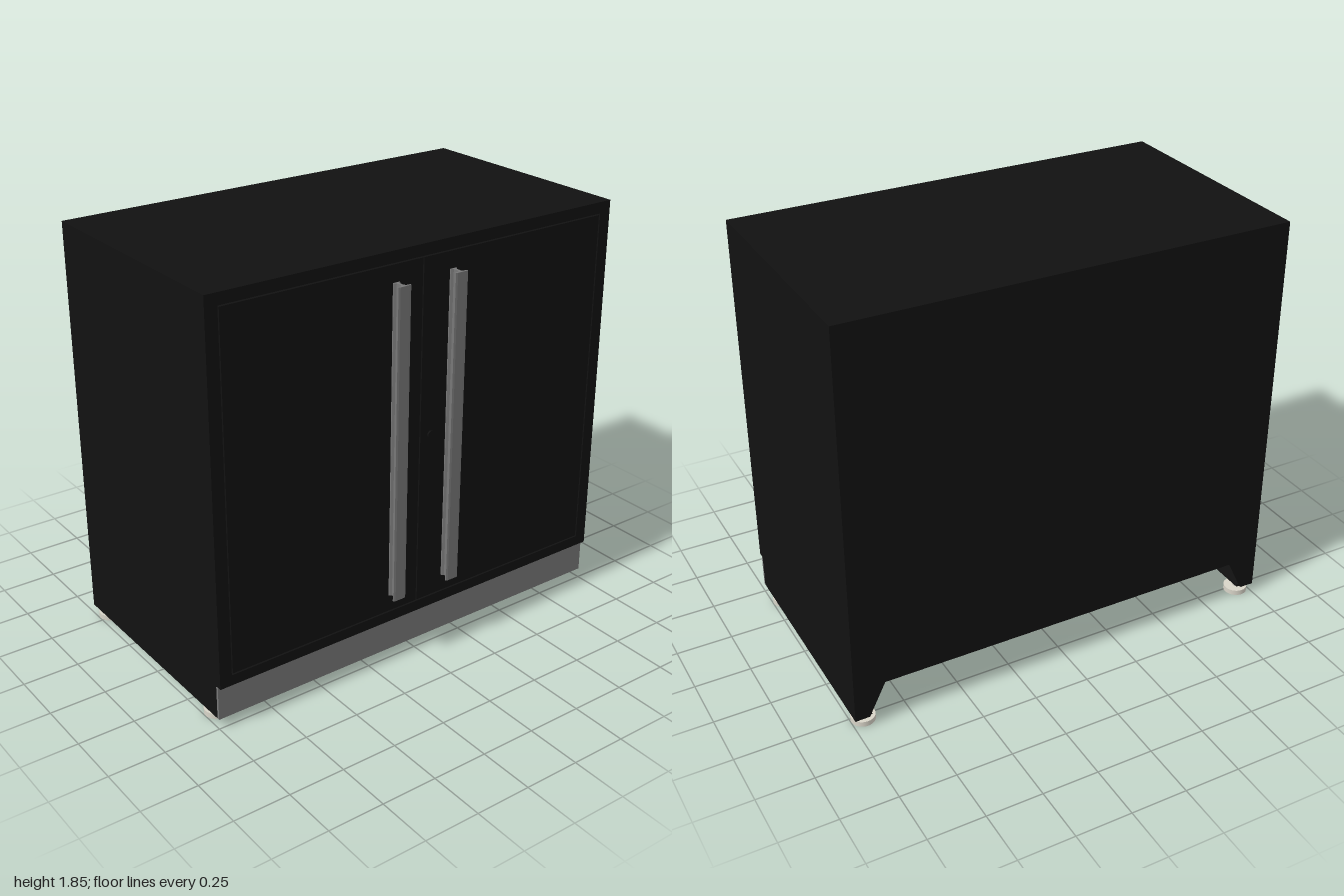
import * as THREE from 'three';

const black = new THREE.MeshStandardMaterial({ color: 0x111111 });
const grey = new THREE.MeshStandardMaterial({ color: 0x777777 });
const pale = new THREE.MeshStandardMaterial({ color: 0xd8d4c8 });

// Box given by its lower and upper limits on each axis
function box(name, [x0, x1], [y0, y1], [z0, z1], material = black) {
  const mesh = new THREE.Mesh(new THREE.BoxGeometry(x1 - x0, y1 - y0, z1 - z0), material);
  mesh.name = name;
  mesh.position.set((x0 + x1) / 2, (y0 + y1) / 2, (z0 + z1) / 2);
  return mesh;
}

function cylinder(name, r, h, x, y, z, material) {
  const mesh = new THREE.Mesh(new THREE.CylinderGeometry(r, r, h, 32), material);
  mesh.name = name;
  mesh.position.set(x, y, z);
  return mesh;
}

// Full-height pull with a T-shaped section: wide grip, thin web, small foot
function handle(name, x) {
  const half = [[0.016, 0.518], [0.016, 0.524], [0.006, 0.53], [0.006, 0.558],
    [0.014, 0.565], [0.031, 0.567], [0.031, 0.573], [0.022, 0.575]];
  const outline = [...half, ...half.map(([px, pz]) => [-px, pz]).reverse()];
  const shape = new THREE.Shape(outline.map(([px, pz]) => new THREE.Vector2(px, pz)));
  const geometry = new THREE.ExtrudeGeometry(shape, { depth: 1.39, bevelEnabled: false });
  geometry.rotateX(Math.PI / 2);
  const mesh = new THREE.Mesh(geometry, grey);
  mesh.name = name;
  mesh.position.set(x, 1.72, 0);
  return mesh;
}

// Tapered corner plate between a base side and the cabinet floor
function gusset(side, z) {
  const shape = new THREE.Shape([[0.985, 0.046], [0.985, 0.2], [0.86, 0.2], [0.935, 0.046]]
    .map(([x, y]) => new THREE.Vector2(side * x, y)));
  const mesh = new THREE.Mesh(
    new THREE.ExtrudeGeometry(shape, { depth: 0.012, bevelEnabled: false }), black);
  mesh.name = 'cornerPlate';
  mesh.position.z = z;
  return mesh;
}

export function createModel() {
  const model = new THREE.Group();
  model.name = 'cabinet';

  // Carcass: open box whose front frame surrounds the doors
  const carcass = new THREE.Group();
  carcass.name = 'carcass';
  const depth = [-0.575, 0.52];
  carcass.add(
    box('top', [-1, 1], [1.8, 1.85], depth),
    box('floor', [-1, 1], [0.2, 0.247], depth),
    box('backPanel', [-0.945, 0.945], [0.247, 1.8], [-0.575, -0.555]),
    box('leftSide', [0.945, 1], [0.247, 1.8], depth),
    box('rightSide', [-1, -0.945], [0.247, 1.8], depth),
  );
  model.add(carcass);

  // Inset doors with narrow gaps, plus handles and lock
  model.add(
    box('rightDoor', [-0.939, -0.013], [0.253, 1.794], [0.49, 0.519]),
    box('leftDoor', [-0.007, 0.939], [0.253, 1.794], [0.49, 0.519]),
    handle('rightHandle', -0.145),
    handle('leftHandle', 0.14),
  );
  const lock = cylinder('lock', 0.016, 0.012, 0.045, 1.025, 0.521, black);
  lock.rotation.x = Math.PI / 2;
  model.add(lock);

  // Hollow base, open at the back and below
  const base = new THREE.Group();
  base.name = 'base';
  base.add(box('kickPlate', [-1, 1], [0.045, 0.197], [0.488, 0.5], grey));
  for (const side of [-1, 1]) {
    const span = (a, b) => (side > 0 ? [a, b] : [-b, -a]);
    base.add(
      box('baseSide', span(0.985, 1), [0.045, 0.2], [-0.575, 0.488]),
      box('baseFlange', span(0.92, 0.985), [0.045, 0.057], [-0.563, 0.476]),
      gusset(side, -0.575),
      gusset(side, 0.475),
    );
    // Levelling feet
    for (const z of [-0.52, 0.39]) {
      const foot = new THREE.Group();
      foot.name = 'foot';
      foot.add(
        cylinder('footPad', 0.053, 0.024, side * 0.945, 0.012, z, pale),
        cylinder('footStem', 0.014, 0.03, side * 0.945, 0.037, z, pale),
      );
      base.add(foot);
    }
  }
  model.add(base);
  return model;
}
